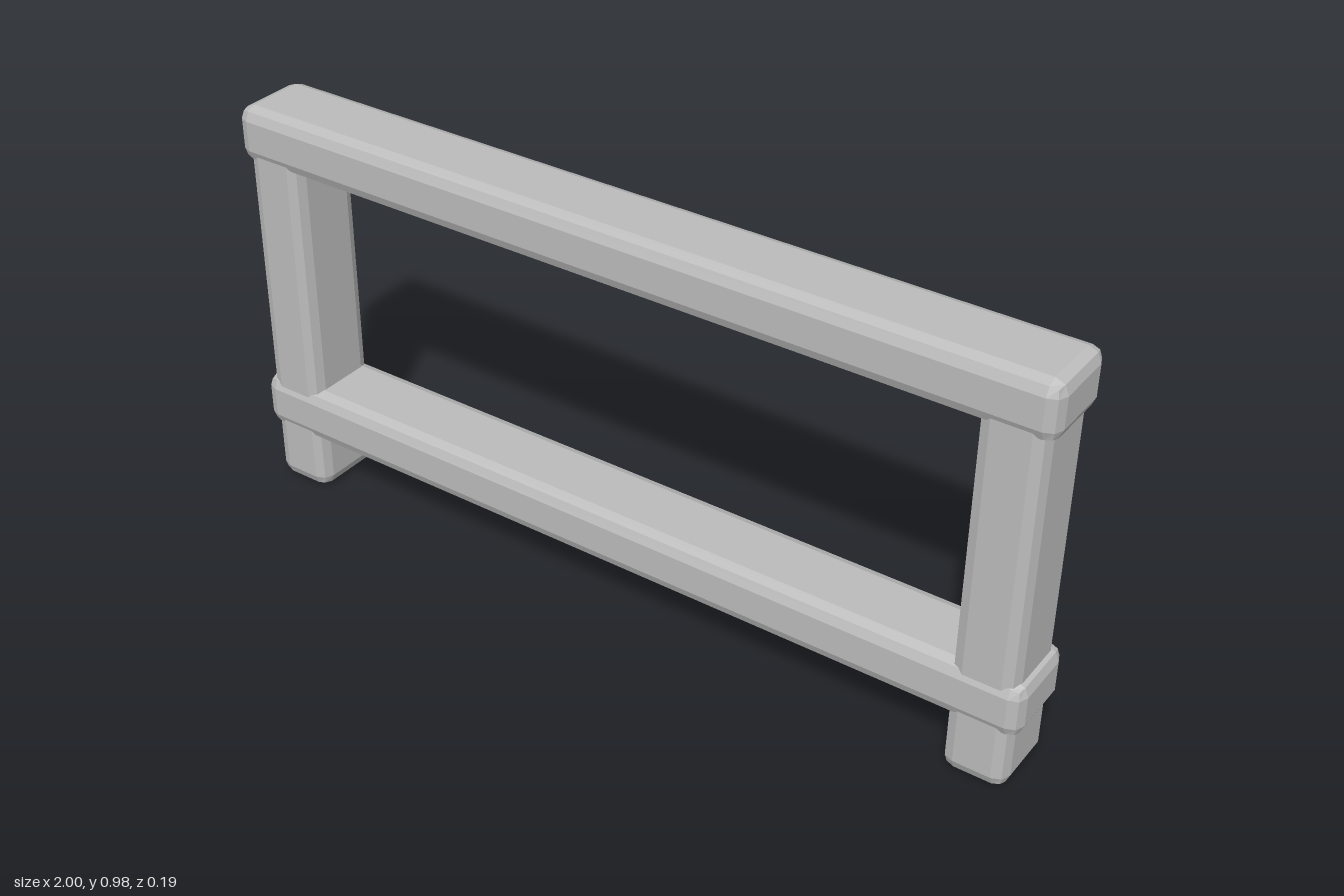
import * as THREE from 'three';
import { RoundedBoxGeometry } from 'three/addons/geometries/RoundedBoxGeometry.js';

export function createModel() {
  const model = new THREE.Group();
  model.name = 'barrier';
  const grey = new THREE.MeshStandardMaterial({ color: 0xbcbcbc });
  grey.name = 'plain grey';

  // Beam with faceted, two-step bevelled edges
  function beam(name, width, height, depth, x, y) {
    const geometry = new RoundedBoxGeometry(width, height, depth, 1, 0.03);
    geometry.computeVertexNormals(); // unshared corners give flat facets
    const mesh = new THREE.Mesh(geometry, grey);
    mesh.name = name;
    mesh.position.set(x, y, 0);
    model.add(mesh);
  }

  // Horizontal rails
  beam('topRail', 2, 0.132, 0.194, 0, 0.91);
  beam('bottomRail', 2, 0.132, 0.194, 0, 0.21);

  // Posts, running from the ground into the top rail
  for (const side of [-1, 1]) {
    beam(side > 0 ? 'leftPost' : 'rightPost', 0.146, 0.94, 0.184, side * 0.909, 0.47);
  }
  return model;
}
